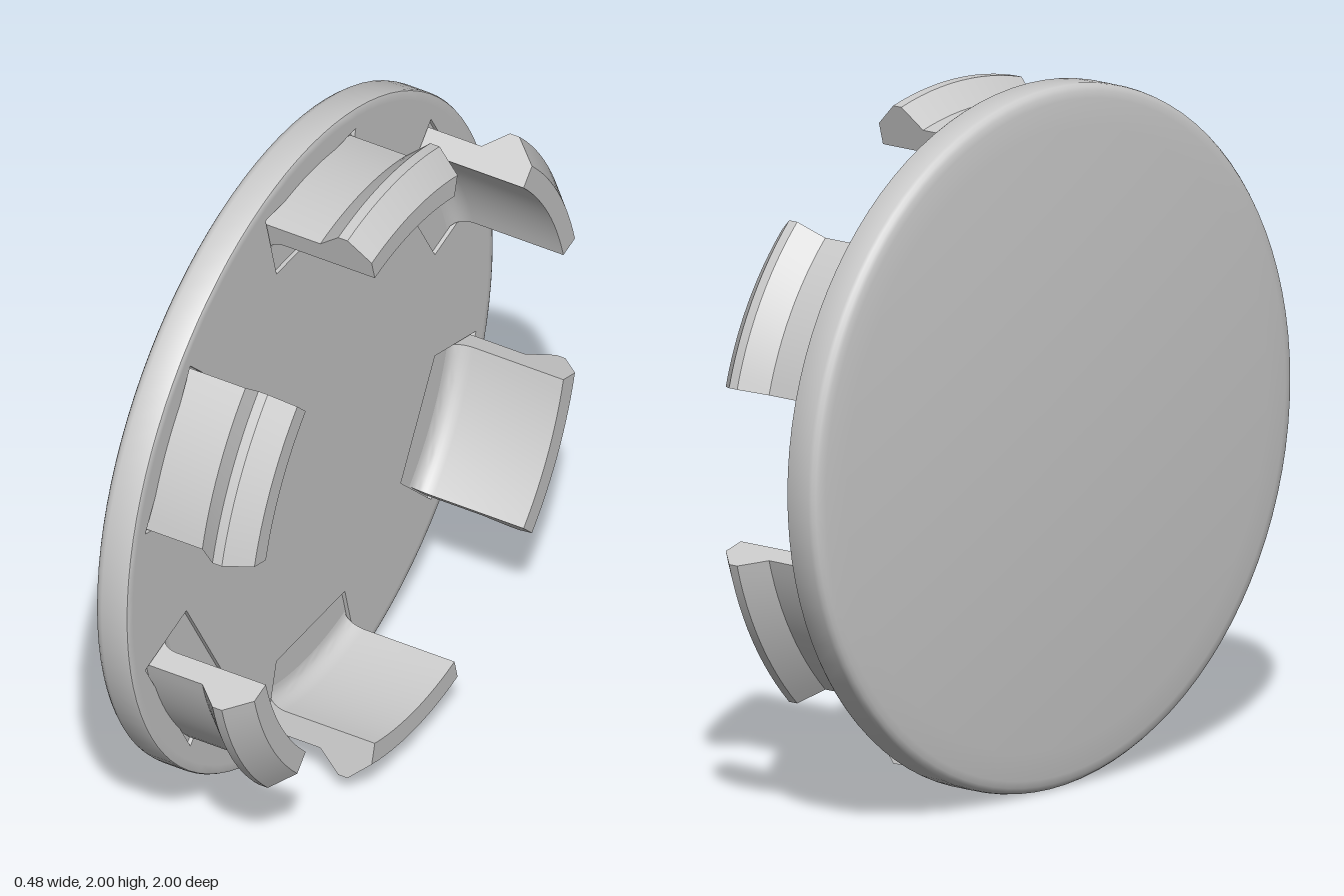
import * as THREE from 'three';
import { toCreasedNormals } from 'three/addons/utils/BufferGeometryUtils.js';

const material = new THREE.MeshStandardMaterial({ color: 0xcccccc });
const BACK = -0.095, FLOOR = -0.107; // rear face and pocket floor, along x
const HALF = Math.PI / 12;           // half the angle a clip covers

function addMesh(parent, name, geometry) {
  const mesh = new THREE.Mesh(geometry, material);
  mesh.name = name;
  parent.add(mesh);
  return mesh;
}

// Domed cover, turned about the x axis
function coverGeometry() {
  const pts = [];
  for (let i = 0; i <= 12; i++) {
    const r = 0.96 * i / 12;
    pts.push(new THREE.Vector2(r, -0.24 + 0.035 * r * r));
  }
  pts.push(...[[0.98, -0.204], [0.991, -0.198], [0.998, -0.189], [1, -0.178],
    [1, -0.104], [0.997, -0.098], [0.99, BACK], [0.97, BACK], [0.97, FLOOR], [0, FLOOR]]
    .map(([r, x]) => new THREE.Vector2(r, x)));
  const geo = new THREE.LatheGeometry(pts, 96);
  geo.rotateZ(-Math.PI / 2);
  return toCreasedNormals(geo, 0.7);
}

// Thin rear layer with a trapezoid pocket under each clip
function rearGeometry() {
  const shape = new THREE.Shape();
  shape.absarc(0, 0, 0.97, 0, Math.PI * 2, false);
  for (let i = 0; i < 6; i++) {
    const a = i * Math.PI / 3;
    const corners = [[-0.186, 0.675], [-0.246, 0.9], [0.246, 0.9], [0.186, 0.675]]
      .map(([x, y]) => new THREE.Vector2(x, y).rotateAround(new THREE.Vector2(), a));
    shape.holes.push(new THREE.Path(corners));
  }
  const geo = new THREE.ExtrudeGeometry(shape, { depth: BACK - FLOOR, bevelEnabled: false, curveSegments: 96 });
  geo.rotateY(Math.PI / 2);
  geo.translate(FLOOR, 0, 0);
  return toCreasedNormals(geo, 0.5);
}

// Snap clip: barbed section (x, radius) bent around the x axis
function clipGeometry() {
  const s = new THREE.Shape();
  s.moveTo(-0.12, 0.91);
  s.lineTo(-0.12, 0.79);
  s.lineTo(FLOOR, 0.79);
  s.quadraticCurveTo(FLOOR + 0.004, 0.836, -0.05, 0.84);
  s.lineTo(0.24, 0.84);
  s.lineTo(0.24, 0.905);
  s.lineTo(0.172, 0.97);
  s.lineTo(0.142, 0.97);
  s.lineTo(0.075, 0.91);
  s.closePath();
  const geo = new THREE.ExtrudeGeometry(s, { depth: 1, steps: 12, bevelEnabled: false, curveSegments: 8 });
  const p = geo.attributes.position;
  for (let i = 0; i < p.count; i++) {
    const r = p.getY(i), a = (p.getZ(i) * 2 - 1) * HALF;
    p.setXYZ(i, p.getX(i), r * Math.cos(a), r * Math.sin(a));
  }
  return toCreasedNormals(geo, 0.45);
}

export function createModel() {
  const group = new THREE.Group();
  group.name = 'wheelCenterCap';
  const cap = new THREE.Group();
  cap.name = 'cap';
  cap.position.y = 1;
  group.add(cap);

  addMesh(cap, 'cover', coverGeometry());
  addMesh(cap, 'rearFace', rearGeometry());

  // Six clips evenly spaced
  const clip = clipGeometry();
  for (let i = 0; i < 6; i++) {
    addMesh(cap, `clip${i + 1}`, clip).rotation.x = i * Math.PI / 3;
  }
  return group;
}
